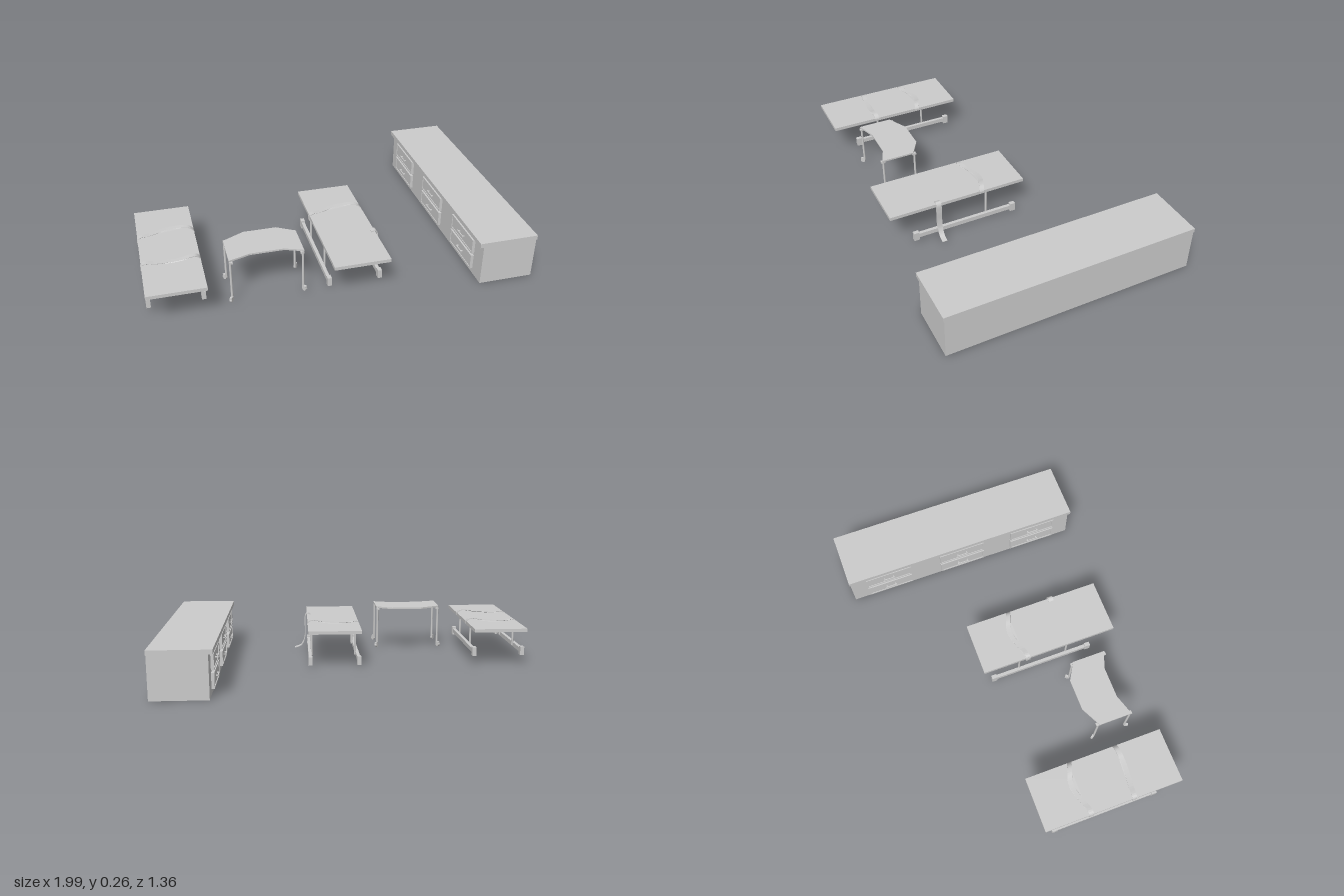
import * as THREE from 'three';

const grey = new THREE.MeshStandardMaterial({ color: 0xcccccc, side: THREE.DoubleSide });

function add(parent, name, geometry, x = 0, y = 0, z = 0) {
  const mesh = new THREE.Mesh(geometry, grey);
  mesh.name = name;
  mesh.position.set(x, y, z);
  parent.add(mesh);
  return mesh;
}

// Box given by its minimum and maximum corners
function block(parent, name, [x0, y0, z0], [x1, y1, z1]) {
  const g = new THREE.BoxGeometry(x1 - x0, y1 - y0, z1 - z0);
  return add(parent, name, g, (x0 + x1) / 2, (y0 + y1) / 2, (z0 + z1) / 2);
}

function group(parent, name, x = 0, y = 0, z = 0) {
  const g = new THREE.Group();
  g.name = name;
  g.position.set(x, y, z);
  parent.add(g);
  return g;
}

// Thin belt: an xy path thickened, extruded along z, then swayed in z as it runs along x
function strap(parent, name, path, width, z, sway = () => 0) {
  const curve = new THREE.CatmullRomCurve3(path.map(([x, y]) => new THREE.Vector3(x, y, 0)));
  const upper = [], lower = [], n = 40, half = 0.002;
  for (let i = 0; i <= n; i++) {
    const p = curve.getPoint(i / n), t = curve.getTangent(i / n);
    upper.push(new THREE.Vector2(p.x - t.y * half, p.y + t.x * half));
    lower.unshift(new THREE.Vector2(p.x + t.y * half, p.y - t.x * half));
  }
  const g = new THREE.ExtrudeGeometry(new THREE.Shape([...upper, ...lower]), { depth: width, bevelEnabled: false });
  const pos = g.attributes.position;
  for (let i = 0; i < pos.count; i++) pos.setZ(i, pos.getZ(i) - width / 2 + sway(pos.getX(i)));
  g.computeVertexNormals();
  return add(parent, name, g, 0, 0, z);
}

// Belt lying across the bed, lifting near one side and tucked over both edges
const drape = [[-0.148, 0.182], [-0.146, 0.207], [-0.132, 0.218], [-0.08, 0.216], [0, 0.218],
  [0.06, 0.224], [0.1, 0.231], [0.128, 0.229], [0.146, 0.212], [0.147, 0.2]];

// Loose belt hanging from the edge to the floor
const hanging = [[0.125, 0.217], [0.145, 0.224], [0.156, 0.212], [0.159, 0.17], [0.158, 0.11],
  [0.165, 0.06], [0.185, 0.027], [0.222, 0.013]];

function bed(parent, name, x, footY) {
  const b = group(parent, name, x, 0, 0.25);
  block(b, 'bedTop', [-0.147, 0.196, -0.385], [0.147, 0.214, 0.385]);
  for (const s of [-1, 1]) {
    const frame = group(b, s > 0 ? 'leftUnderframe' : 'rightUnderframe');
    const x0 = s * 0.136, postX = s * 0.125;
    add(frame, 'rail', new THREE.BoxGeometry(0.018, 0.024, 0.57), x0, footY + 0.026, -0.04);
    for (const z of [-0.325, 0.245]) {
      add(frame, 'foot', new THREE.BoxGeometry(0.022, 0.048, 0.03), x0, footY + 0.024, z);
    }
    for (const z of [-0.17, 0.115]) {
      const h = 0.196 - footY - 0.02;
      add(frame, 'post', new THREE.CylinderGeometry(0.006, 0.006, h, 10), postX, 0.196 - h / 2, z);
      add(frame, 'postBracket', new THREE.CylinderGeometry(0.013, 0.006, 0.014, 10), postX, 0.189, z);
    }
  }
  strap(b, 'backStrap', drape, 0.026, -0.15, (t) => 0.022 * Math.cos((t + 0.147) / 0.147 * Math.PI * 0.85));
  return b;
}

function cabinet(parent) {
  const c = group(parent, 'cabinet');
  block(c, 'cabinetBody', [0.706, 0, -0.676], [0.998, 0.226, 0.672]);
  block(c, 'countertop', [0.684, 0.226, -0.68], [1, 0.25, 0.677]);
  for (const z of [-0.45, 0, 0.44]) {
    for (const y of [0.07, 0.165]) {
      const d = group(c, 'drawer', 0.7, y, z);
      add(d, 'drawerFront', new THREE.BoxGeometry(0.012, 0.082, 0.27));
      // Raised border around the drawer front
      for (const s of [-1, 1]) {
        add(d, 'drawerEdge', new THREE.BoxGeometry(0.005, 0.008, 0.27), -0.0075, s * 0.037, 0);
        add(d, 'drawerEdge', new THREE.BoxGeometry(0.005, 0.082, 0.008), -0.0075, 0, s * 0.131);
        add(d, 'handleMount', new THREE.BoxGeometry(0.014, 0.006, 0.006), -0.012, 0, s * 0.027);
      }
      add(d, 'handle', new THREE.BoxGeometry(0.005, 0.008, 0.068), -0.018, 0, 0);
    }
  }
}

function curvedTable(parent) {
  const t = group(parent, 'curvedTable', -0.384, 0, 0);
  const outline = [[-0.189, 0.335], [-0.076, 0.279], [0.096, 0.279], [0.189, 0.335],
    [0.189, 0.517], [0.096, 0.481], [-0.076, 0.481], [-0.189, 0.517]];
  const top = new THREE.ExtrudeGeometry(
    new THREE.Shape(outline.map(([x, z]) => new THREE.Vector2(x, -z))),
    { depth: 0.009, bevelEnabled: false });
  top.rotateX(-Math.PI / 2);
  add(t, 'tableTop', top, 0, 0.256, 0);
  for (const s of [-1, 1]) {
    for (const [z, dz] of [[0.328, -0.016], [0.512, 0.014]]) {
      const leg = group(t, 'tableLeg', s * 0.183, 0, z);
      add(leg, 'legTube', new THREE.CylinderGeometry(0.006, 0.006, 0.222, 12), 0, 0.147, 0);
      add(leg, 'legBracket', new THREE.BoxGeometry(0.018, 0.01, 0.022), -s * 0.004, 0.251, 0);
      // Caster swivelled outward
      const caster = group(leg, 'caster', s * 0.005, 0.031, dz * 0.6);
      caster.rotation.y = s * Math.sign(dz) * 0.6;
      add(caster, 'casterFork', new THREE.BoxGeometry(0.012, 0.014, 0.022), 0, 0.009, 0);
      const wheel = new THREE.CylinderGeometry(0.013, 0.013, 0.012, 16).rotateZ(Math.PI / 2);
      add(caster, 'casterWheel', wheel);
    }
  }
}

export function createModel() {
  const model = new THREE.Group();
  model.name = 'treatmentRoom';
  const farBed = bed(model, 'rightBed', -0.842, 0.053);
  strap(farBed, 'frontStrap', drape, 0.026, 0.122, (t) => -0.008 * Math.cos((t + 0.147) * 16));
  const midBed = bed(model, 'middleBed', 0.077, 0.011);
  strap(midBed, 'hangingStrap', hanging, 0.028, 0.117);
  curvedTable(model);
  cabinet(model);
  return model;
}
